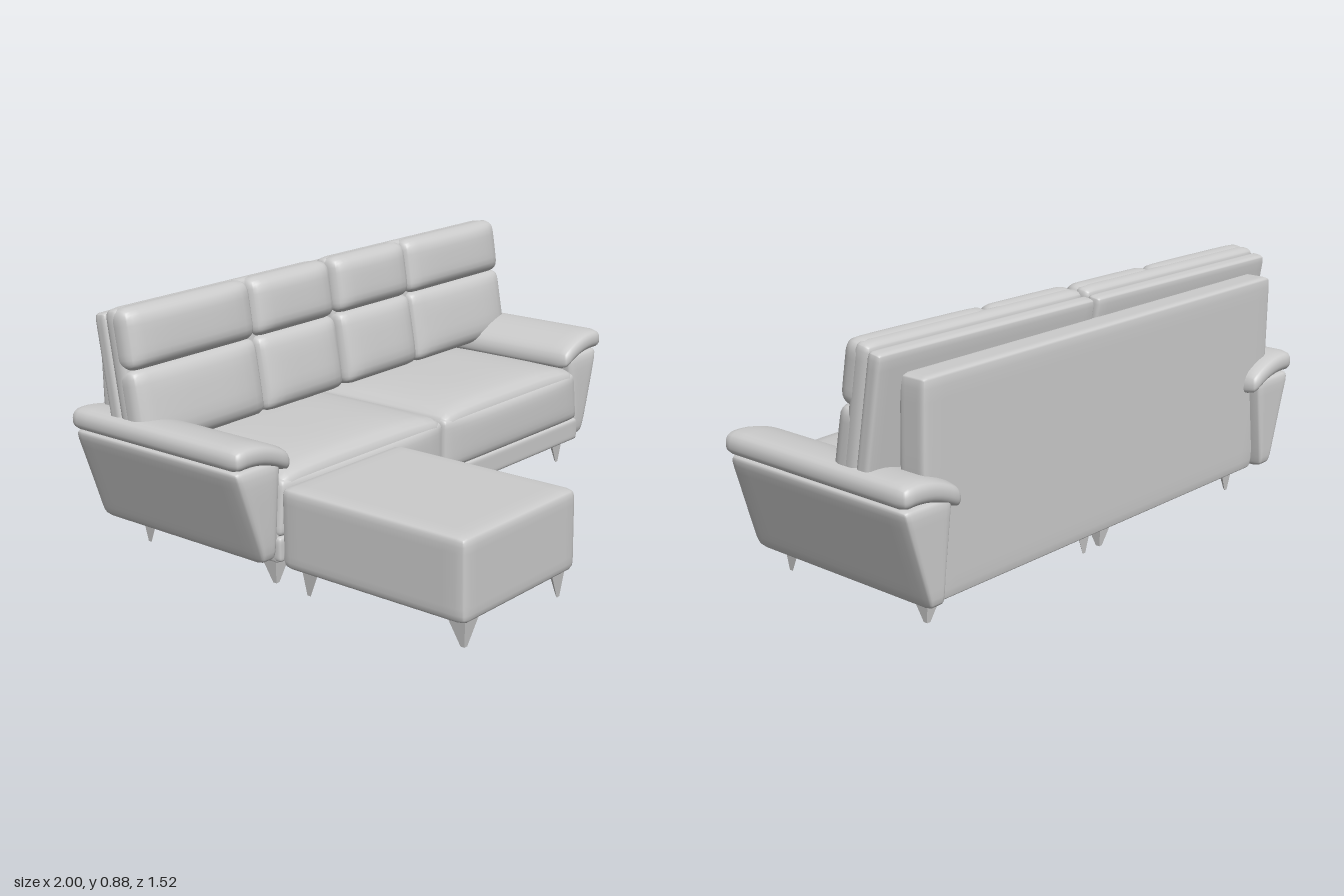
import * as THREE from 'three';
import { mergeVertices } from 'three/addons/utils/BufferGeometryUtils.js';

const material = new THREE.MeshStandardMaterial({ color: 0xcccccc });
const lerp = THREE.MathUtils.lerp;

// Rounded upholstered block between two limits per axis.
// deform(p, u) may move each point p; u is its place in the block, -1..1 per axis.
function pillow(name, xs, ys, zs, radius, deform) {
  const lo = new THREE.Vector3(Math.min(...xs), ys[0], zs[0]);
  const hi = new THREE.Vector3(Math.max(...xs), ys[1], zs[1]);
  const half = hi.clone().sub(lo).multiplyScalar(0.5);
  const centre = hi.clone().add(lo).multiplyScalar(0.5);
  const inner = half.clone().subScalar(Math.min(radius, half.x, half.y, half.z));
  const r = half.x - inner.x;
  let geo = new THREE.BoxGeometry(2, 2, 2, 14, 14, 14);
  geo.deleteAttribute('uv');
  geo.deleteAttribute('normal');
  const pos = geo.attributes.position;
  const p = new THREE.Vector3(), u = new THREE.Vector3(), c = new THREE.Vector3();
  for (let i = 0; i < pos.count; i++) {
    p.fromBufferAttribute(pos, i);
    // gather the grid lines near the edges
    p.set(...p.toArray().map(t => Math.sin(t * Math.PI / 2)));
    p.multiply(half);
    c.copy(p).clamp(inner.clone().negate(), inner);
    p.sub(c).setLength(r).add(c);
    u.copy(p).divide(half);
    p.add(centre);
    if (deform) deform(p, u);
    pos.setXYZ(i, p.x, p.y, p.z);
  }
  geo = mergeVertices(geo, 1e-5);
  geo.computeVertexNormals();
  const mesh = new THREE.Mesh(geo, material);
  mesh.name = name;
  return mesh;
}

const dome = (a, b) => (1 - a ** 4) * (1 - b ** 4);
const puffFront = amount => (p, u) => { if (u.z > 0) p.z += amount * u.z * dome(u.x, u.y); };

// Tapered three-sided corner leg; sx and sz point from its outer corner inward
function leg(x, z, sx, sz) {
  const ring = (size, y, o) => [[o, o], [o + size, o], [o, o + size]]
    .map(([a, b]) => [x + sx * a, y, z + sz * b]);
  const top = ring(0.075, 0.1, 0), foot = ring(0.014, 0, 0.012);
  const tris = [[foot[0], foot[1], foot[2]], [top[0], top[2], top[1]]];
  for (let i = 0; i < 3; i++) {
    const j = (i + 1) % 3;
    tris.push([foot[i], top[i], top[j]], [foot[i], top[j], foot[j]]);
  }
  // reverse the corners where the leg is mirrored
  const points = tris.flatMap(t => (sx * sz > 0 ? t : [...t].reverse())).flat();
  const geo = new THREE.BufferGeometry();
  geo.setAttribute('position', new THREE.Float32BufferAttribute(points, 3));
  geo.computeVertexNormals();
  const mesh = new THREE.Mesh(geo, material);
  mesh.name = 'leg';
  return mesh;
}

function fourLegs(x0, x1, z0, z1) {
  const legs = new THREE.Group();
  legs.name = 'legs';
  for (const [x, sx] of [[x0, 1], [x1, -1]])
    for (const [z, sz] of [[z0, 1], [z1, -1]]) legs.add(leg(x, z, sx, sz));
  return legs;
}

// One seat with its footrest front; s is the side, +1 or -1
function seat(s) {
  const g = new THREE.Group();
  g.name = s > 0 ? 'leftSeat' : 'rightSeat';
  const flare = (p, u) => { if (s * u.x > 0) p.x += s * 0.02 * THREE.MathUtils.clamp((0.36 - p.y) / 0.2, 0, 1); };
  const xs = [s * 0.004, s * 0.81];
  g.add(pillow('seatBase', xs, [0.09, 0.32], [-0.66, 0.005], 0.012, flare));
  g.add(pillow('seatCushion', xs, [0.24, 0.375], [-0.62, 0.022], 0.04, (p, u) => {
    if (u.y > 0) p.y += 0.035 * u.y * dome(u.x, u.z * 0.9);
  }));
  const front = puffFront(0.016);
  g.add(pillow('footrestPanel', xs, [0.175, 0.365], [-0.1, 0.02], 0.025, (p, u) => { flare(p, u); front(p, u); }));
  g.add(pillow('lowerFrontStrip', xs, [0.095, 0.18], [-0.1, 0.02], 0.014, flare));
  g.add(s > 0 ? fourLegs(0.025, 0.8, -0.655, -0.03) : fourLegs(-0.8, -0.025, -0.655, -0.03));
  return g;
}

// Leaning backrest of two columns, each with a lumbar and a head cushion
function backrest(s) {
  const g = new THREE.Group();
  g.name = s > 0 ? 'leftBackrest' : 'rightBackrest';
  const outer = s * 0.972, seam = s * 0.41, mid = s * 0.008;
  g.add(pillow('backShell', [mid, outer], [0, 0.455], [0, 0.055], 0.018));
  g.add(pillow('backPadding', [mid, outer], [0, 0.468], [0.045, 0.115], 0.03));
  for (const xs of [[mid, seam], [seam, outer]]) {
    g.add(pillow('lumbarCushion', xs, [0, 0.268], [0.06, 0.148], 0.035, (p, u) => {
      if (u.z > 0) p.z += 0.026 * u.z * dome(u.x, u.y) * (1 - 0.35 * u.y);
    }));
    g.add(pillow('headCushion', xs, [0.262, 0.468], [0.06, 0.152], 0.04, puffFront(0.022)));
  }
  g.position.set(0, s > 0 ? 0.391 : 0.387, -0.575);
  g.rotation.set(-0.14, 0, 0.009);
  if (s < 0) g.position.y += 0.003;
  return g;
}

// Arm narrowing toward the floor, under a curved pad
function arm(s) {
  const g = new THREE.Group();
  g.name = s > 0 ? 'leftArm' : 'rightArm';
  g.add(pillow('armBody', [s * 0.785, s * 0.995], [0.1, 0.43], [-0.755, 0], 0.03, (p, u) => {
    const down = (1 - u.y) / 2;
    p.x += s * down * lerp(0.045, -0.115, (s * u.x + 1) / 2);
    if (u.z > 0) p.z += 0.008 * dome(u.x, u.y);
  }));
  g.add(pillow('armPad', [s * 0.752, s], [-0.037, 0.037], [-0.762, 0.015], 0.034, p => {
    p.y += 0.467 - 1.7 * (Math.abs(p.x) - 0.94) ** 2;
  }));
  return g;
}

export function createModel() {
  const model = new THREE.Group();
  model.name = 'sofaWithFootstool';
  for (const s of [1, -1]) model.add(seat(s), backrest(s), arm(s));

  // Rear panel, tucked in between the arms below
  model.add(pillow('rearPanel', [-0.895, 0.872], [0.09, 0.78], [-0.715, -0.61], 0.02, p => {
    p.x *= lerp(0.93, 1, THREE.MathUtils.clamp((p.y - 0.1) / 0.35, 0, 1));
  }));

  // Footstool
  const stool = new THREE.Group();
  stool.name = 'footstool';
  stool.add(pillow('footstoolBody', [-0.85, -0.28], [0.09, 0.36], [0.042, 0.762], 0.028));
  stool.add(fourLegs(-0.81, -0.3, 0.09, 0.735));
  model.add(stool);
  return model;
}
